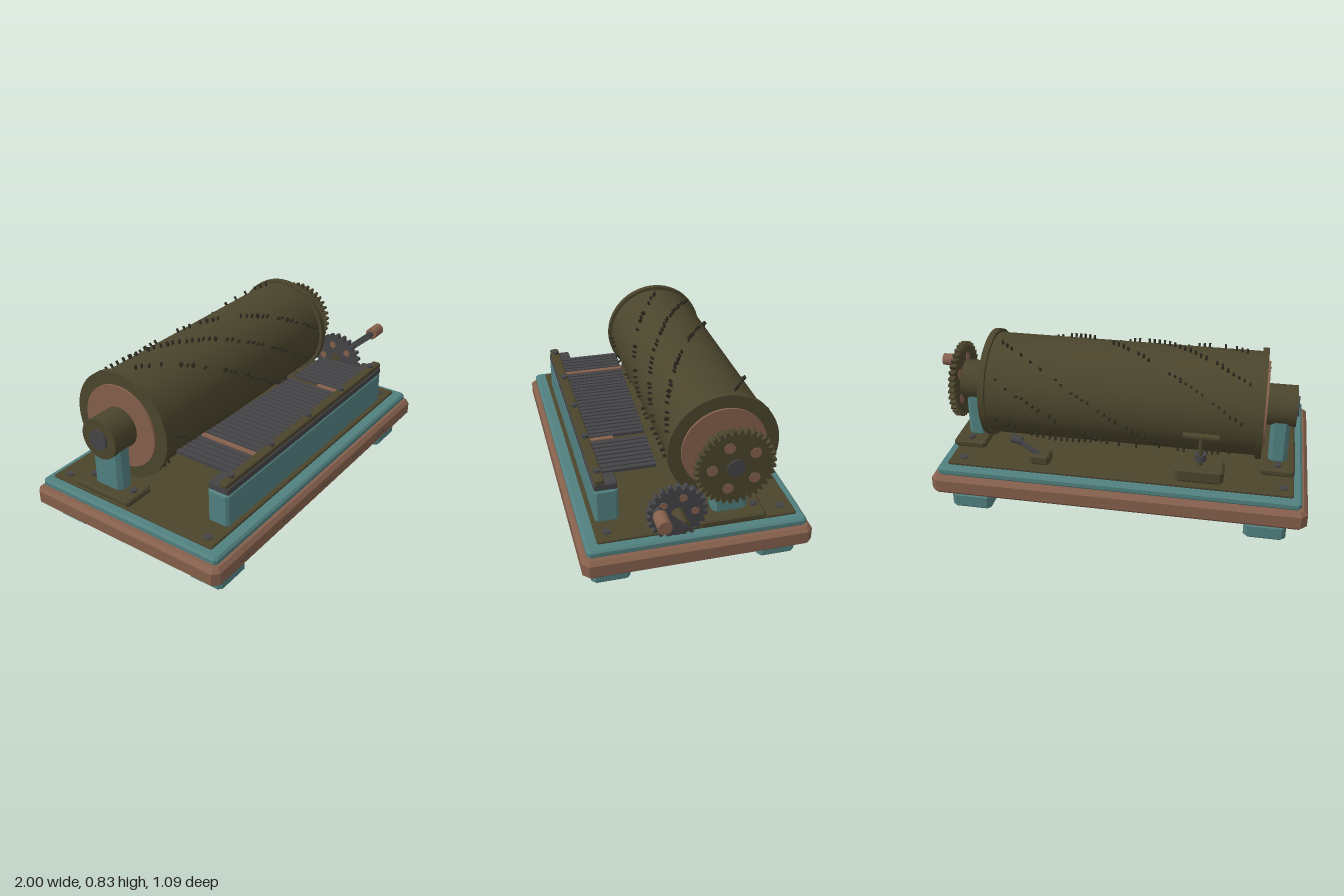
import * as THREE from 'three';
import { mergeGeometries } from 'three/addons/utils/BufferGeometryUtils.js';

const mat = (name, color) => Object.assign(new THREE.MeshStandardMaterial({ color }), { name });

export function createModel() {
  const root = new THREE.Group();
  root.name = 'cylinderMusicBox';
  const wood = mat('wood', 0x85604c);
  const teal = mat('tealPaint', 0x528080);
  const brass = mat('agedBrass', 0x4b452d);
  const steel = mat('darkSteel', 0x444447);
  const pinMat = mat('pinMetal', 0x2d2b20);

  const add = (name, geometry, material, x = 0, y = 0, z = 0) => {
    const m = new THREE.Mesh(geometry, material);
    m.name = name;
    m.position.set(x, y, z);
    root.add(m);
    return m;
  };

  // Chamfered block given by its extents
  const block = (name, material, x0, x1, y0, y1, z0, z1, c = 0.008) => {
    const w = (x1 - x0) / 2 - c, d = (z1 - z0) / 2 - c;
    const s = new THREE.Shape([
      [w - c, -d], [w, -d + c], [w, d - c], [w - c, d],
      [-w + c, d], [-w, d - c], [-w, -d + c], [-w + c, -d],
    ].map(([a, b]) => new THREE.Vector2(a, b)));
    const g = new THREE.ExtrudeGeometry(s, {
      depth: y1 - y0 - 2 * c, bevelEnabled: true, bevelSegments: 1, bevelSize: c, bevelThickness: c,
    });
    g.rotateX(-Math.PI / 2);
    return add(name, g, material, (x0 + x1) / 2, y0 + c, (z0 + z1) / 2);
  };

  // Cylinder along the x axis
  const axle = (name, material, x0, x1, r, y, z, sides = 32) => {
    const g = new THREE.CylinderGeometry(r, r, x1 - x0, sides).rotateZ(Math.PI / 2);
    return add(name, g, material, (x0 + x1) / 2, y, z);
  };

  // Upright cylinder
  const post = (name, material, r, x, y0, y1, z, sides = 16) =>
    add(name, new THREE.CylinderGeometry(r, r, y1 - y0, sides), material, x, (y0 + y1) / 2, z);

  // Rod between two points
  const rod = (name, material, r, a, b) => {
    const p = new THREE.Vector3(...a), q = new THREE.Vector3(...b), d = q.clone().sub(p);
    const m = add(name, new THREE.CylinderGeometry(r, r, d.length(), 12), material);
    m.position.copy(p).add(q).multiplyScalar(0.5);
    m.quaternion.setFromUnitVectors(new THREE.Vector3(0, 1, 0), d.normalize());
    return m;
  };

  // Toothed wheel facing x, with wooden discs around its centre
  const gear = (name, material, teeth, rIn, rOut, x, y, z, discRing, discR, phase) => {
    const pts = [];
    for (let i = 0; i < teeth; i++) {
      [[0, rIn], [0.22, rOut], [0.55, rOut], [0.77, rIn]].forEach(([f, r]) => {
        const a = ((i + f) / teeth) * Math.PI * 2;
        pts.push(new THREE.Vector2(Math.cos(a) * r, Math.sin(a) * r));
      });
    }
    const g = new THREE.ExtrudeGeometry(new THREE.Shape(pts), { depth: 0.03, bevelEnabled: false });
    g.translate(0, 0, -0.015).rotateY(Math.PI / 2);
    add(name, g, material, x, y, z);
    for (let i = 0; i < 5; i++) {
      const a = phase + (i / 5) * Math.PI * 2;
      axle(name + 'Disc', wood, x - 0.018, x + 0.018, discR,
        y + Math.sin(a) * discRing, z - Math.cos(a) * discRing, 24);
    }
  };

  // Base, trim, bed plate and feet
  block('woodBase', wood, -1, 0.82, 0.1, 0.195, -0.545, 0.545, 0.018);
  block('tealTrim', teal, -0.97, 0.79, 0.195, 0.235, -0.52, 0.52, 0.01);
  block('bedPlate', brass, -0.93, 0.745, 0.235, 0.25, -0.48, 0.465, 0.004);
  for (const x of [-0.81, 0.635]) for (const z of [-0.4025, 0.4025]) {
    block('foot', teal, x - 0.1, x + 0.1, 0, 0.08, z - 0.0925, z + 0.0925, 0.012);
    block('footSpacer', wood, x - 0.07, x + 0.07, 0.078, 0.102, z - 0.06, z + 0.06, 0.002);
  }
  for (const x of [-0.88, 0.68]) for (const z of [-0.42, 0.41]) post('plateScrew', steel, 0.02, x, 0.248, 0.256, z);
  // Thin scratches along the front edge
  [-0.78, -0.45, -0.1, 0.2, 0.47].forEach((x, i) =>
    add('grainLine', new THREE.BoxGeometry(0.1, 0.004, 0.002), steel, x, i % 2 ? 0.152 : 0.144, 0.545));

  // Drum
  const Y = 0.555, Z = -0.165;
  axle('drum', brass, -0.74, 0.56, 0.25, Y, Z, 72);
  for (const x of [-0.765, 0.555]) axle('drumFlange', brass, x, x + 0.03, 0.267, Y, Z, 72);
  axle('drumEndLeft', wood, -0.776, -0.76, 0.205, Y, Z, 48);
  axle('drumEndRight', wood, 0.58, 0.596, 0.205, Y, Z, 48);

  // Melody pins in slanting runs
  let seed = 7;
  const rnd = () => (seed = (seed * 16807) % 2147483647) / 2147483647;
  const pins = [];
  for (let run = 0; run < 20; run++) {
    for (let i = 0; i < 46; i++) {
      const x = -0.69 + i * 0.0265;
      if ((i + run * 3) % 7 > 3 || rnd() < 0.4) continue;
      const slot = ((i * 0.0265) / 0.33 - run) / 5;
      if (run % 4 === 3) continue;
      const a = slot * Math.PI * 1.25 + (rnd() - 0.5) * 0.05;
      pins.push(new THREE.CylinderGeometry(0.006, 0.006, 0.03, 6)
        .translate(0, 0.255, 0).rotateX(a).translate(x, Y, Z));
    }
  }
  add('melodyPins', mergeGeometries(pins), pinMat);

  // Bearings at both ends
  for (const [p0, p1, s0, s1, h0, h1] of [
    [-0.93, -0.765, -0.89, -0.8, -0.915, -0.775], [0.6, 0.765, 0.62, 0.71, 0.595, 0.73]]) {
    block('bearingFoot', brass, p0, p1, 0.25, 0.285, -0.325, -0.005, 0.008);
    block('bearingPost', teal, s0, s1, 0.28, 0.52, -0.248, -0.082, 0.012);
    axle('bearingHub', brass, h0, h1, 0.1, Y, Z);
    for (const z of [-0.285, -0.045]) post('bearingBolt', steel, 0.018, (p0 + p1) / 2, 0.283, 0.297, z, 6);
  }
  axle('shaftLeft', steel, -0.925, -0.9, 0.05, Y, Z);
  axle('shaftRight', steel, 0.7, 0.768, 0.042, Y, Z);

  // Drive gears
  gear('drumGear', brass, 36, 0.168, 0.19, 0.745, Y, Z, 0.11, 0.026, Math.PI);
  gear('crankGear', steel, 22, 0.122, 0.142, 0.745, 0.357, 0.1, 0.082, 0.019, 0);

  // Crank
  axle('crankHub', brass, 0.73, 0.87, 0.029, 0.357, 0.1, 24);
  const arm = add('crankArm', new THREE.BoxGeometry(0.022, 0.19, 0.036), steel, 0.877, 0.413, 0.16);
  arm.rotation.x = Math.atan2(0.12, 0.112);
  axle('crankPin', steel, 0.87, 0.92, 0.016, 0.47, 0.22, 16);
  axle('crankGrip', wood, 0.91, 1, 0.032, 0.47, 0.22, 24);

  // Comb with its stand and clamp rail
  block('combStand', teal, -0.785, 0.605, 0.25, 0.42, 0.335, 0.447, 0.008);
  block('combBar', steel, -0.78, 0.6, 0.42, 0.455, 0.338, 0.447, 0.004);
  block('clampRail', brass, -0.785, 0.605, 0.453, 0.48, 0.397, 0.443, 0.005);
  for (const x of [-0.72, -0.41, -0.09, 0.22, 0.53]) post('railScrew', steel, 0.016, x, 0.478, 0.494, 0.418);
  const teeth = 35;
  for (let i = 0; i < teeth; i++) {
    const x = -0.665 + i * 0.0342, broken = i === 26;
    const tip = broken ? 0.28 : 0.08 + (i / teeth) * 0.055;
    add('combTooth', new THREE.BoxGeometry(0.025, 0.016, 0.4 - tip),
      broken || i === 5 ? wood : steel, x, 0.457, (0.4 + tip) / 2);
  }
  add('brokenTooth', new THREE.BoxGeometry(0.02, 0.012, 0.1), wood, 0.18, 0.265, 0.285).rotation.y = 0.12;

  // Speed governor behind the drum
  block('governorBlock', brass, -0.6, -0.37, 0.25, 0.32, -0.455, -0.33, 0.01);
  post('governorSpindle', brass, 0.011, -0.485, 0.31, 0.495, -0.395);
  post('governorCollar', steel, 0.028, -0.485, 0.34, 0.375, -0.383, 20);
  add('governorVane', new THREE.BoxGeometry(0.17, 0.01, 0.06), brass, -0.485, 0.49, -0.412);

  // Stop lever
  block('leverBlock', brass, 0.245, 0.345, 0.25, 0.3, -0.43, -0.345, 0.008);
  rod('stopLever', steel, 0.012, [0.3, 0.295, -0.4], [0.41, 0.355, -0.383]);
  rod('leverKnob', steel, 0.02, [0.39, 0.35, -0.384], [0.44, 0.362, -0.38]);

  return root;
}
